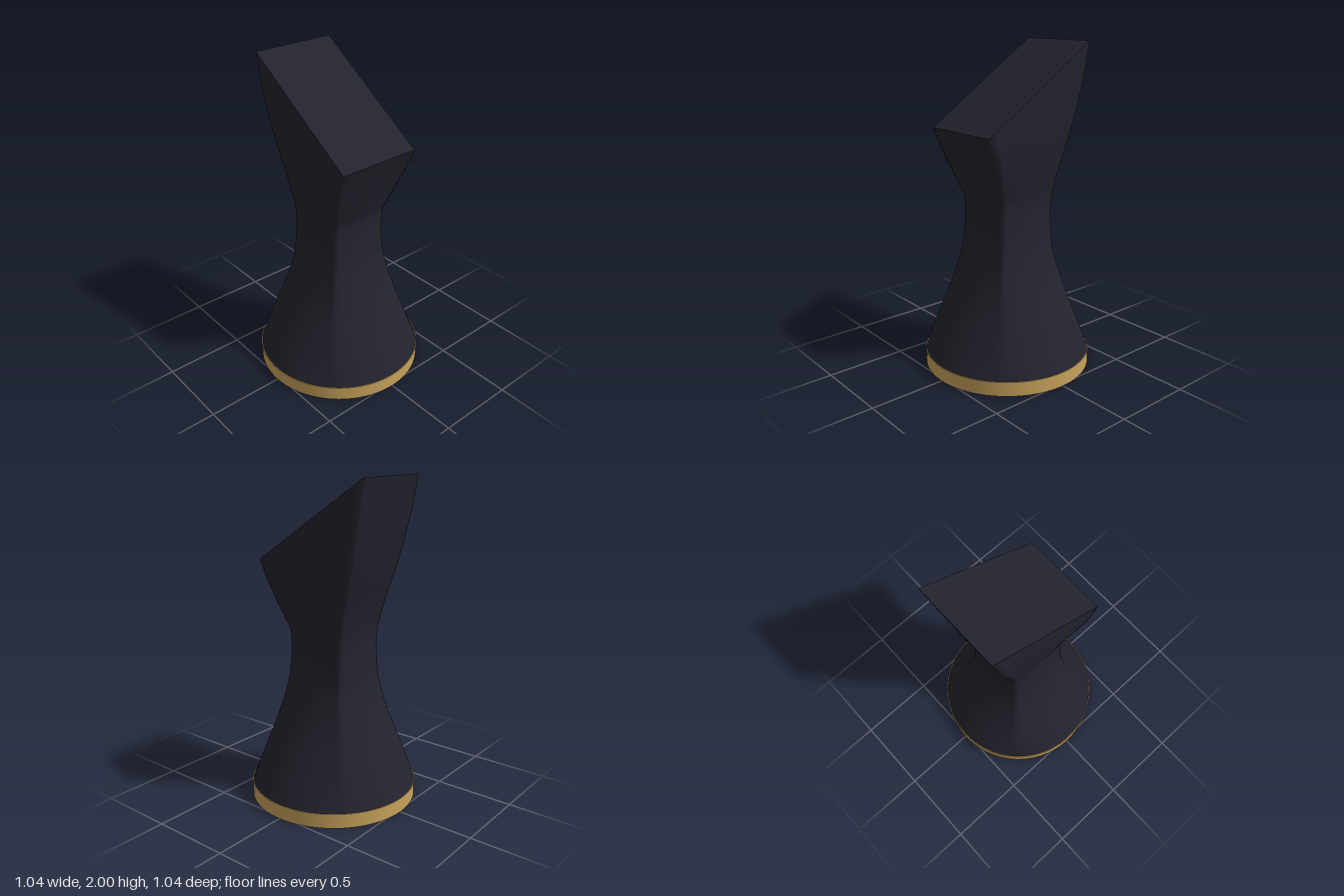
import * as THREE from 'three';

const SEGMENTS = 96; // multiple of 8, so the corners fall on vertices
const RINGS = 72;

// Sections: [left y, right y, left x, right x, half depth, squareness]
const SECTIONS = [
  [0.09, 0.09, -0.515, 0.515, 0.515, 0],
  [0.3, 0.3, -0.41, 0.41, 0.41, 0.17],
  [0.5, 0.5, -0.315, 0.315, 0.315, 0.34],
  [0.7, 0.7, -0.245, 0.243, 0.243, 0.5],
  [0.85, 0.85, -0.222, 0.212, 0.212, 0.61],
  [1.05, 1.05, -0.215, 0.203, 0.2, 0.71],
  [1.24, 1.14, -0.247, 0.226, 0.218, 0.8],
  [1.43, 1.23, -0.297, 0.255, 0.238, 0.88],
  [1.62, 1.32, -0.34, 0.285, 0.255, 0.94],
  [1.81, 1.41, -0.377, 0.315, 0.267, 0.98],
  [2.0, 1.5, -0.41, 0.35, 0.268, 1],
];

const smooth = (points) => new THREE.CatmullRomCurve3(points, false, 'catmullrom', 0.5);
const leftCurve = smooth(SECTIONS.map(([yl, , xl, , z]) => new THREE.Vector3(xl, yl, z)));
const rightCurve = smooth(SECTIONS.map(([, yr, , xr, , s]) => new THREE.Vector3(xr, yr, s)));

// One closed ring, blending from a circle to a tilted rectangle
function ring(t) {
  const l = leftCurve.getPoint(t);
  const r = rightCurve.getPoint(t);
  const square = THREE.MathUtils.clamp(r.z, 0, 1);
  const points = [];
  for (let i = 0; i < SEGMENTS; i++) {
    const a = (i / SEGMENTS) * Math.PI * 2;
    const c = Math.cos(a), s = Math.sin(a);
    const k = 1 - square + square / Math.max(Math.abs(c), Math.abs(s));
    const f = (c * k + 1) / 2;
    points.push([
      THREE.MathUtils.lerp(l.x, r.x, f),
      THREE.MathUtils.lerp(l.y, r.y, f),
      s * k * l.z,
    ]);
  }
  return points;
}

function geometryFrom(points, index) {
  const g = new THREE.BufferGeometry();
  g.setAttribute('position', new THREE.Float32BufferAttribute(points.flat(), 3));
  g.setIndex(index);
  g.computeVertexNormals();
  return g;
}

function bodyGeometry() {
  const points = [], index = [];
  for (let j = 0; j <= RINGS; j++) points.push(...ring(j / RINGS));
  for (let j = 0; j < RINGS; j++) {
    for (let i = 0; i < SEGMENTS; i++) {
      const n = (i + 1) % SEGMENTS;
      const a = j * SEGMENTS + i, b = j * SEGMENTS + n;
      const c = a + SEGMENTS, d = b + SEGMENTS;
      index.push(a, c, b, b, c, d);
    }
  }
  return geometryFrom(points, index);
}

function capGeometry() {
  const points = ring(1), index = [];
  points.push([-0.03, 1.75, 0]);
  for (let i = 0; i < SEGMENTS; i++) index.push(SEGMENTS, (i + 1) % SEGMENTS, i);
  return geometryFrom(points, index);
}

export function createModel() {
  const model = new THREE.Group();
  model.name = 'slantedChessPiece';

  const dark = new THREE.MeshStandardMaterial({ color: 0x23232e });
  dark.name = 'darkNavy';
  const gold = new THREE.MeshStandardMaterial({ color: 0xc9a45c });
  gold.name = 'gold';

  const add = (name, geometry, material) => {
    const mesh = new THREE.Mesh(geometry, material);
    mesh.name = name;
    model.add(mesh);
    return mesh;
  };

  // Flared body that turns square towards the head
  add('body', bodyGeometry(), dark);
  // Flat slanted face on top
  add('slantedTop', capGeometry(), dark);
  // Gold disc under the body
  add('base', new THREE.CylinderGeometry(0.52, 0.52, 0.09, 96), gold).position.y = 0.045;

  return model;
}
